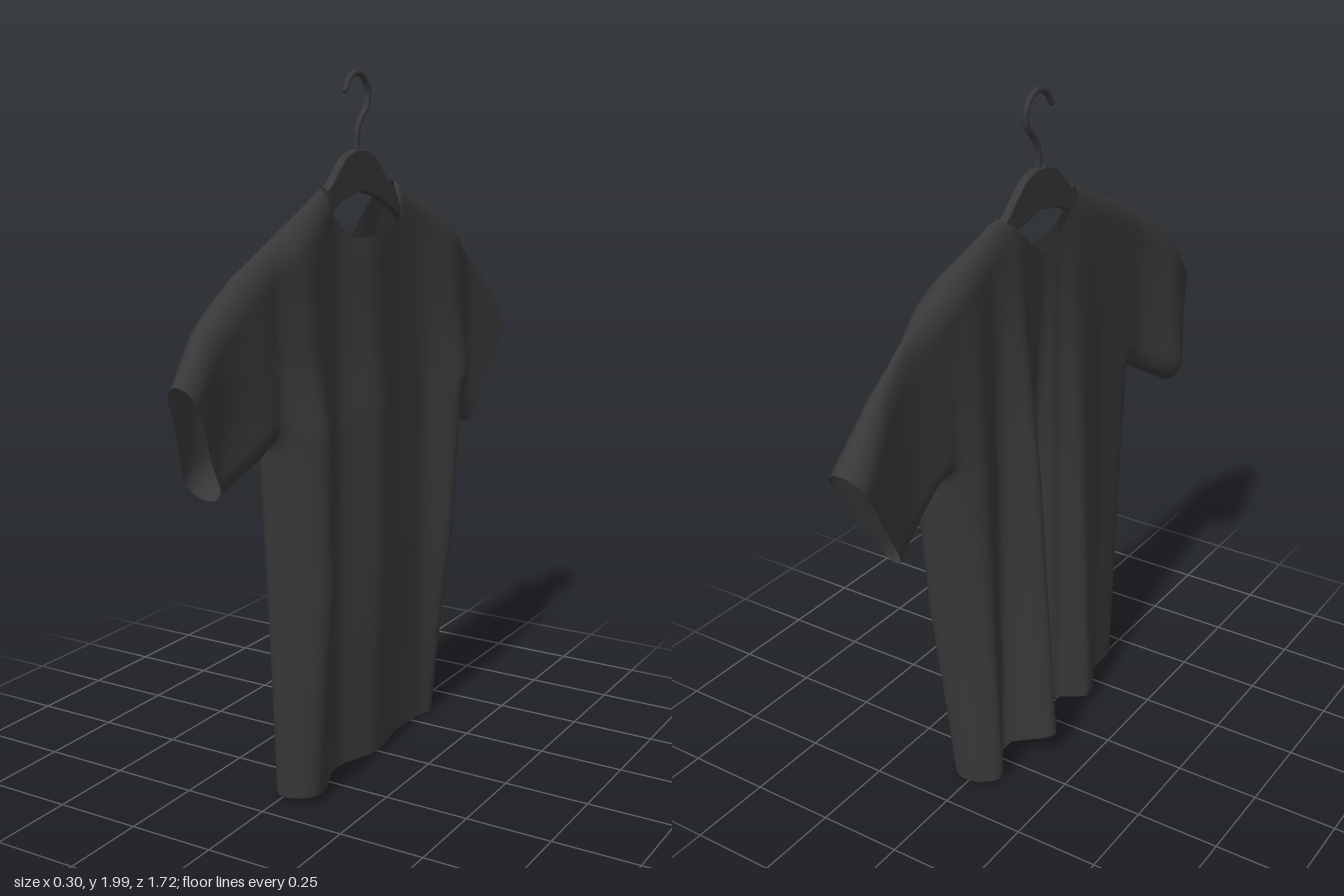
import * as THREE from 'three';

const cloth = new THREE.MeshStandardMaterial({ color: 0x383838, roughness: 0.9, side: THREE.DoubleSide });
const plastic = new THREE.MeshStandardMaterial({ color: 0x383838 });

// Value of a [key, value] table at x, linear or eased between keys
function look(table, x, eased = false) {
  if (x <= table[0][0]) return table[0][1];
  for (let i = 1; i < table.length; i++) {
    const [a, va] = table[i - 1], [b, vb] = table[i];
    if (x <= b) {
      let t = (x - a) / (b - a);
      if (eased) t = t * t * (3 - 2 * t);
      return va + (vb - va) * t;
    }
  }
  return table[table.length - 1][1];
}

// Outline of the shirt in the z-y plane
const NECK = 0.185, ARMHOLE = 0.5;
const shoulder = [[-0.86, 1.23], [-0.72, 1.385], [-0.62, 1.465], [-0.39, 1.6], [-NECK, 1.69],
  [NECK, 1.69], [0.39, 1.6], [0.59, 1.5], [0.74, 1.38], [0.86, 1.26]];
const sides = {
  1: { cuffTop: 0.86, cuff: [0.67, 0.93], armpit: [0.4925, 1.04], hem: [0.43, 0.03],
    taper: [[0.03, 0.86], [1.04, 0.985], [look(shoulder, ARMHOLE), 1]] },
  '-1': { cuffTop: -0.86, cuff: [-0.66, 0.89], armpit: [-0.465, 1.04], hem: [-0.39, 0.01],
    taper: [[0.01, 0.78], [1.04, 0.93], [look(shoulder, -ARMHOLE), 1]] },
};
const necklines = {
  1: [[-NECK, 1.69], [-0.175, 1.61], [-0.14, 1.575], [-0.09, 1.55], [0.09, 1.55], [0.14, 1.575], [0.175, 1.61], [NECK, 1.69]],
  '-1': [[-NECK, 1.69], [-0.01, 1.55], [0.01, 1.55], [NECK, 1.69]],
};
const hems = {
  1: [[-0.5, 0.01], [0.5, 0.03]],
  '-1': [[-0.5, 0.01], [-0.2, 0.09], [0, 0.05], [0.5, 0.03]],
};

// Depth of the panels along the shoulders, depth of the folds low down, and how the folds grow downwards
const topDepth = {
  1: [[-0.86, 0.075], [-0.62, 0.045], [-0.4, 0.07], [-0.2, 0.05], [0, 0.06], [0.15, 0.035], [0.3, 0.055], [0.86, 0.06]],
  '-1': [[-0.86, -0.04], [-0.6, -0.005], [-0.4, -0.02], [0.86, -0.03]],
};
const folds = {
  1: [[-0.86, 0.075], [-0.62, 0.04], [-0.45, 0.14], [-0.28, 0.06], [-0.17, 0.06], [0.03, 0.11], [0.19, 0.055],
    [0.37, 0.145], [0.5, 0.065], [0.7, 0.02], [0.86, 0.06]],
  '-1': [[-0.86, -0.04], [-0.6, -0.01], [-0.45, -0.03], [-0.35, -0.09], [-0.25, -0.03], [-0.15, -0.155],
    [-0.07, 0.02], [0, 0.045], [0.05, -0.02], [0.13, -0.1], [0.3, -0.03], [0.5, -0.03], [0.68, -0.14], [0.86, -0.02]],
};
const growth = {
  1: [[0, 0.5], [0.6, 1], [1.07, 0.9], [1.25, 0.5], [1.5, 0.28], [1.68, 0]],
  '-1': [[0.1, 1], [1, 0.55], [1.65, 0]],
};
const depth = (face, z, y) =>
  THREE.MathUtils.lerp(look(topDepth[face], z, true), look(folds[face], z, true), look(growth[face], y));

// Distance to the seams where front and back panels join
const seams = [];
const addSeam = (pts) => { for (let i = 1; i < pts.length; i++) seams.push([pts[i - 1], pts[i]]); };
addSeam(shoulder.filter(([z]) => z < 0));
addSeam(shoulder.filter(([z]) => z > 0));
for (const s of [1, -1]) addSeam([sides[s].cuff, sides[s].armpit, sides[s].hem]);
function seamDistance(z, y) {
  let best = 9;
  for (const [[az, ay], [bz, by]] of seams) {
    const dz = bz - az, dy = by - ay;
    const t = THREE.MathUtils.clamp(((z - az) * dz + (y - ay) * dy) / (dz * dz + dy * dy), 0, 1);
    best = Math.min(best, Math.hypot(z - az - t * dz, y - ay - t * dy));
  }
  return best;
}

// Place a point of the outline on a panel, rounding it into the seams
function onPanel(face, z, y) {
  const mid = (depth(1, z, y) + depth(-1, z, y)) / 2;
  const d = Math.min(seamDistance(z, y) / 0.07, 1);
  const round = Math.sqrt(Math.max(0, 1 - (1 - d) ** 2));
  return [mid + (depth(face, z, y) - mid) * round, y, z];
}

// Grid surface from a function of (column, row)
function gridMesh(name, cols, rows, point, flip) {
  const pos = [], index = [];
  for (let j = 0; j <= cols; j++) for (let i = 0; i <= rows; i++) pos.push(...point(j, i));
  for (let j = 0; j < cols; j++) for (let i = 0; i < rows; i++) {
    const a = j * (rows + 1) + i, b = a + 1, c = a + rows + 1, d = c + 1;
    index.push(...(flip ? [a, b, c, c, b, d] : [a, c, b, c, d, b]));
  }
  const g = new THREE.BufferGeometry();
  g.setAttribute('position', new THREE.Float32BufferAttribute(pos, 3));
  g.setIndex(index);
  g.computeVertexNormals();
  const mesh = new THREE.Mesh(g, cloth);
  mesh.name = name;
  return mesh;
}

// Columns crowd towards the side seams and meet the neck corners exactly
const half = [];
for (let i = 0; i <= 14; i++) half.push(NECK * i / 14);
for (let i = 1; i <= 24; i++) half.push(NECK + (ARMHOLE - NECK) * Math.sin(i / 24 * Math.PI / 2));
const columns = [...half.slice(1).reverse().map((z) => -z), ...half];

function bodyPanel(face) {
  const rows = 64;
  return gridMesh(face > 0 ? 'frontPanel' : 'backPanel', columns.length - 1, rows, (j, i) => {
    const z0 = columns[j];
    const top = Math.abs(z0) < NECK ? look(necklines[face], z0) : look(shoulder, z0);
    const y = THREE.MathUtils.lerp(top, look(hems[face], z0), (i / rows) ** 1.6);
    return onPanel(face, z0 * look(sides[z0 < 0 ? -1 : 1].taper, y), y);
  }, face < 0);
}

// Sleeves start slightly inside the armhole so no gap shows there
function sleevePanel(face, s) {
  const { cuffTop, cuff, armpit } = sides[s];
  const name = (s > 0 ? 'left' : 'right') + 'Sleeve' + (face > 0 ? 'Front' : 'Back');
  return gridMesh(name, 20, 36, (j, i) => {
    const u = j / 20, v = (1 - Math.cos(Math.PI * i / 36)) / 2;
    const tz = THREE.MathUtils.lerp((ARMHOLE - 0.012) * s, cuffTop, u), ty = look(shoulder, tz);
    const bz = THREE.MathUtils.lerp(armpit[0], cuff[0], u), by = THREE.MathUtils.lerp(armpit[1], cuff[1], u);
    return onPanel(face, tz + (bz - tz) * v, ty + (by - ty) * v);
  }, face * s < 0);
}

function hanger() {
  const group = new THREE.Group();
  group.name = 'hanger';
  // Arched body with arms reaching under the shoulders
  const upper = [[0.025, 1.78], [0.07, 1.765], [0.11, 1.732], [0.15, 1.692], [0.3, 1.6], [0.44, 1.525]];
  const lower = [[0.45, 1.48], [0.3, 1.545], [0.18, 1.615], [0.1, 1.652], [0, 1.675]];
  const right = [...upper, ...lower];
  const left = right.slice(0, -1).reverse().map(([z, y]) => [-z, y]);
  const shape = new THREE.Shape([...right, ...left].map(([z, y]) => new THREE.Vector2(z, y)));
  const body = new THREE.Mesh(new THREE.ExtrudeGeometry(shape, {
    depth: 0.018, bevelEnabled: true, bevelSize: 0.004, bevelThickness: 0.004, bevelSegments: 2,
  }), plastic);
  body.geometry.rotateY(-Math.PI / 2).translate(0.014, 0, 0);
  body.name = 'hangerBody';
  // Wire hook
  const path = new THREE.CatmullRomCurve3([[0, 1.76], [0, 1.835], [-0.02, 1.87], [-0.05, 1.9], [-0.058, 1.94],
    [-0.035, 1.978], [0, 1.991], [0.04, 1.978], [0.065, 1.945]].map(([z, y]) => new THREE.Vector3(0.005, y, z)));
  const hook = new THREE.Mesh(new THREE.TubeGeometry(path, 60, 0.009, 10), plastic);
  hook.name = 'hook';
  const tip = new THREE.Mesh(new THREE.SphereGeometry(0.009, 10, 8), plastic);
  tip.position.set(0.005, 1.945, 0.065);
  tip.name = 'hookTip';
  group.add(body, hook, tip);
  return group;
}

export function createModel() {
  const model = new THREE.Group();
  model.name = 'shirtOnHanger';
  const shirt = new THREE.Group();
  shirt.name = 'shirt';
  for (const face of [1, -1]) {
    shirt.add(bodyPanel(face));
    for (const s of [1, -1]) shirt.add(sleevePanel(face, s));
  }
  model.add(shirt, hanger());
  return model;
}
